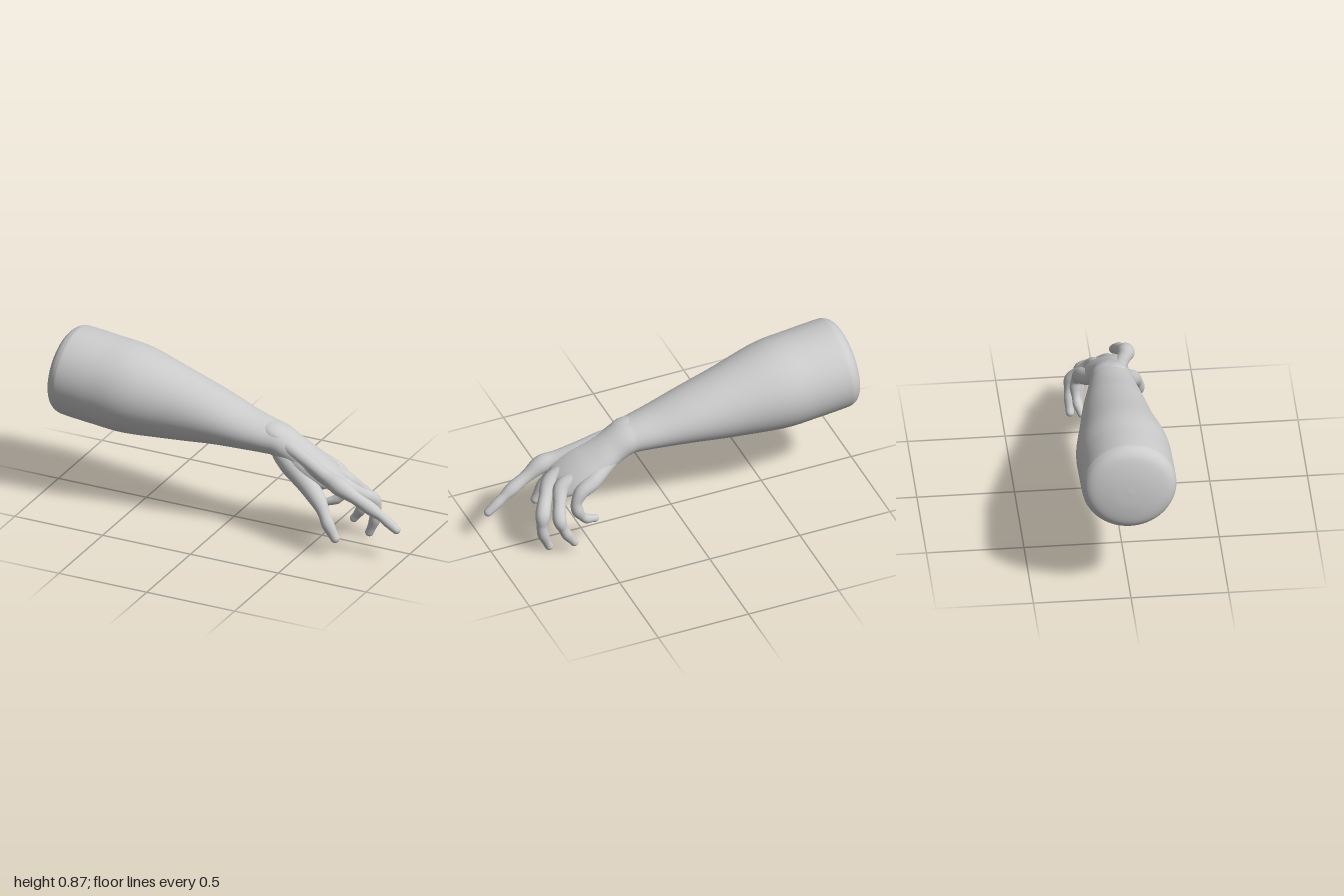
import * as THREE from 'three';

const material = new THREE.MeshStandardMaterial({ color: 0xcccccc, roughness: 0.8 });

// Lofts a smooth closed skin through keys [x, y, z, upRadius, sideRadius, roll].
// With roundEnds set, both ends taper off as hemispheres.
function loft(name, keys, steps, sides, roundEnds) {
  const path = new THREE.CatmullRomCurve3(
    keys.map(k => new THREE.Vector3(k[0], k[1], k[2])), false, 'catmullrom', 0.5);
  const shape = new THREE.CatmullRomCurve3(
    keys.map(k => new THREE.Vector3(k[3], k[4] ?? k[3], k[5] ?? 0)), false, 'catmullrom', 0.5);
  const start = path.getPoint(0), end = path.getPoint(1);
  const positions = [], index = [];
  for (let i = 0; i <= steps; i++) {
    const t = i / steps;
    const c = path.getPoint(t), T = path.getTangent(t), s = shape.getPoint(t);
    const S = new THREE.Vector3(0, 0, 1).addScaledVector(T, -T.z).normalize();
    const U = new THREE.Vector3().crossVectors(S, T);
    S.applyAxisAngle(T, -s.z);
    U.applyAxisAngle(T, -s.z);
    let k = 1;
    if (roundEnds) {
      const d = Math.min(c.distanceTo(start), c.distanceTo(end)) / s.x;
      if (d < 1) k = Math.sqrt(1 - (1 - d) ** 2);
    }
    for (let j = 0; j < sides; j++) {
      const a = (j / sides) * Math.PI * 2;
      const p = c.clone()
        .addScaledVector(S, Math.cos(a) * Math.max(s.y * k, 0.0003))
        .addScaledVector(U, Math.sin(a) * Math.max(s.x * k, 0.0003));
      positions.push(p.x, p.y, p.z);
      if (i < steps) {
        const p0 = i * sides + j, p1 = i * sides + (j + 1) % sides;
        index.push(p0, p0 + sides, p1, p1, p0 + sides, p1 + sides);
      }
    }
  }
  const geometry = new THREE.BufferGeometry();
  geometry.setAttribute('position', new THREE.Float32BufferAttribute(positions, 3));
  geometry.setIndex(index);
  geometry.computeVertexNormals();
  const mesh = new THREE.Mesh(geometry, material);
  mesh.name = name;
  return mesh;
}

function ellipsoid(name, x, y, z, rx, ry, rz, tilt) {
  const mesh = new THREE.Mesh(new THREE.SphereGeometry(1, 32, 20), material);
  mesh.name = name;
  mesh.position.set(x, y, z);
  mesh.scale.set(rx, ry, rz);
  mesh.rotation.z = tilt;
  return mesh;
}

// Forearm with a domed cut end, narrowing to the wrist and flattening into the palm
const forearmAndPalm = [
  [-0.99, 0.645, 0, 0, 0],
  [-0.985, 0.6445, 0, 0.09, 0.093],
  [-0.97, 0.643, 0, 0.17, 0.176],
  [-0.95, 0.641, 0, 0.21, 0.218],
  [-0.92, 0.638, 0, 0.23, 0.238],
  [-0.88, 0.634, 0, 0.235, 0.243],
  [-0.73, 0.618, 0, 0.235, 0.243],
  [-0.55, 0.6, 0, 0.23, 0.238],
  [-0.3, 0.57, 0, 0.185, 0.195],
  [-0.1, 0.548, 0.005, 0.143, 0.165],
  [0.07, 0.524, 0.012, 0.108, 0.136],
  [0.2, 0.508, 0.015, 0.088, 0.113],
  [0.26, 0.498, 0.013, 0.084, 0.104, 0.05],
  [0.33, 0.463, 0.012, 0.081, 0.1, 0.12],
  [0.42, 0.418, 0.008, 0.075, 0.115, 0.25],
  [0.5, 0.381, 0.008, 0.067, 0.127, 0.3],
  [0.57, 0.348, 0.016, 0.054, 0.12, 0.3],
  [0.625, 0.32, 0.025, 0.034, 0.095, 0.3],
  [0.645, 0.31, 0.03, 0, 0, 0.3],
];

// Each digit starts inside the wrist, so its hand bone shows as a ridge: [x, y, z, radius]
const digits = {
  thumb: [
    [0.25, 0.46, 0.035, 0.04], [0.36, 0.405, 0.07, 0.062], [0.465, 0.337, 0.11, 0.053],
    [0.555, 0.277, 0.157, 0.043], [0.6, 0.225, 0.182, 0.031], [0.63, 0.172, 0.194, 0.033],
    [0.658, 0.122, 0.193, 0.026], [0.682, 0.08, 0.19, 0.024],
  ],
  indexFinger: [
    [0.24, 0.505, 0.045, 0.03], [0.34, 0.49, 0.065, 0.038], [0.46, 0.446, 0.09, 0.036],
    [0.58, 0.398, 0.118, 0.037], [0.665, 0.366, 0.132, 0.047], [0.75, 0.318, 0.125, 0.033],
    [0.835, 0.27, 0.115, 0.034], [0.885, 0.238, 0.107, 0.025], [0.925, 0.209, 0.103, 0.026],
    [0.99, 0.16, 0.098, 0.02],
  ],
  middleFinger: [
    [0.28, 0.49, 0.03, 0.03], [0.45, 0.428, 0.04, 0.036], [0.58, 0.363, 0.045, 0.04],
    [0.655, 0.316, 0.035, 0.046], [0.705, 0.27, -0.02, 0.036], [0.748, 0.218, -0.085, 0.038],
    [0.758, 0.16, -0.099, 0.028], [0.752, 0.105, -0.1, 0.03], [0.732, 0.05, -0.1, 0.023],
    [0.712, 0.002, -0.1, 0.022],
  ],
  ringFinger: [
    [0.28, 0.48, -0.005, 0.03], [0.45, 0.408, -0.02, 0.035], [0.56, 0.358, -0.03, 0.039],
    [0.625, 0.322, -0.04, 0.042], [0.66, 0.265, -0.095, 0.033], [0.68, 0.205, -0.145, 0.035],
    [0.665, 0.155, -0.155, 0.026], [0.645, 0.112, -0.157, 0.028], [0.618, 0.07, -0.158, 0.022],
    [0.592, 0.035, -0.157, 0.021],
  ],
  littleFinger: [
    [0.26, 0.48, -0.02, 0.03], [0.4, 0.405, -0.07, 0.04], [0.48, 0.36, -0.1, 0.043],
    [0.545, 0.324, -0.114, 0.037], [0.577, 0.275, -0.124, 0.029], [0.575, 0.225, -0.131, 0.031],
    [0.55, 0.182, -0.13, 0.023], [0.522, 0.155, -0.125, 0.025], [0.485, 0.14, -0.115, 0.021],
    [0.452, 0.125, -0.108, 0.019],
  ],
};

export function createModel() {
  const group = new THREE.Group();
  group.name = 'arm';
  group.add(loft('forearmAndPalm', forearmAndPalm, 180, 64, false));
  for (const [name, keys] of Object.entries(digits)) {
    group.add(loft(name, keys, 150, 28, true));
  }
  // Wrist bone and the skin between thumb and index finger
  group.add(ellipsoid('wristBone', 0.255, 0.546, 0.03, 0.085, 0.041, 0.07, -0.3));
  group.add(ellipsoid('thumbWeb', 0.46, 0.385, 0.09, 0.13, 0.062, 0.042, -0.45));
  return group;
}
